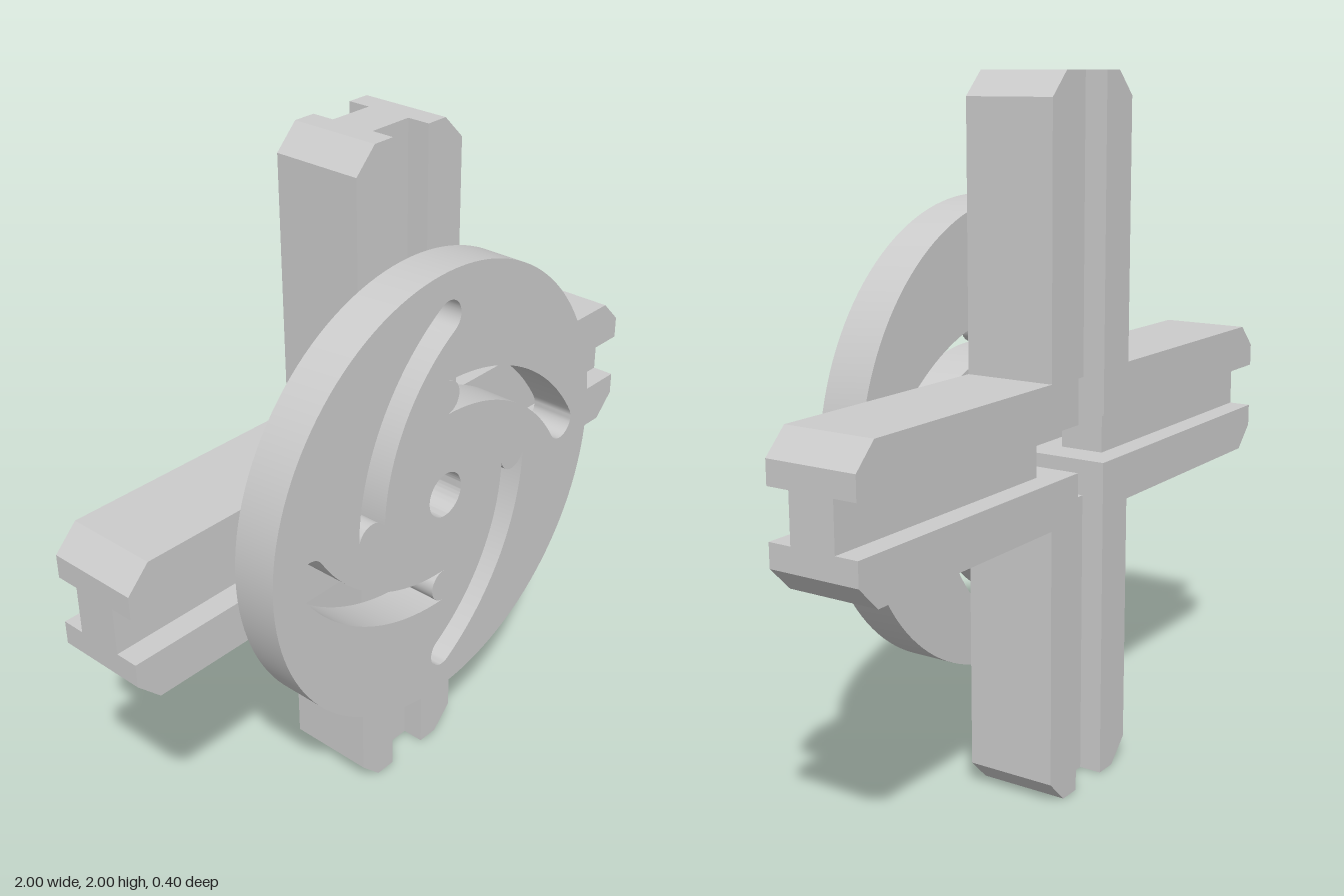
import * as THREE from 'three';
import { toCreasedNormals } from 'three/addons/utils/BufferGeometryUtils.js';

const GROOVE = 0.067;               // half width of the guide grooves
const BACK = -0.2, FACE = 0.067, FRONT = 0.2;
const PIN_R = 0.05, PIN_AT = 0.3;   // pin radius and distance from the axis

// extrude a shape between two z levels, smooth on curves and sharp on edges
function slab(shape, z0, z1) {
  const geo = new THREE.ExtrudeGeometry(shape, { depth: z1 - z0, bevelEnabled: false, curveSegments: 64 });
  geo.translate(0, 0, z0);
  return toCreasedNormals(geo, 0.6);
}

// points along an arc
function arc(cx, cy, r, a0, a1, n) {
  return Array.from({ length: n + 1 }, (_, i) => {
    const a = a0 + (a1 - a0) * i / n;
    return new THREE.Vector2(cx + r * Math.cos(a), cy + r * Math.sin(a));
  });
}

// curved slot from the pin (0, 0.3) out to (0.533, 0), turned by a given angle
function slotPath(turn) {
  const cy = -0.324, R = PIN_AT - cy, end = Math.atan2(-cy, 0.533), top = Math.PI / 2;
  const pts = [
    ...arc(0, cy, R + PIN_R, top, end, 28),
    ...arc(R * Math.cos(end), cy + R * Math.sin(end), PIN_R, end, end - Math.PI, 14).slice(1),
    ...arc(0, cy, R - PIN_R, end, top, 28).slice(1),
    ...arc(0, PIN_AT, PIN_R, -top, top, 14).slice(1, -1),
  ];
  return new THREE.Path(pts.map(p => p.rotateAround(new THREE.Vector2(), turn)));
}

export function createModel() {
  const root = new THREE.Group();
  root.name = 'scrollChuck';
  root.position.y = 1;
  const mat = new THREE.MeshStandardMaterial({ color: 0xcccccc });
  const add = (parent, name, geo) => {
    const mesh = new THREE.Mesh(geo, mat);
    mesh.name = name;
    parent.add(mesh);
    return mesh;
  };

  // L-shaped corner of the cross with chamfered arm ends
  const corner = new THREE.Shape([
    [GROOVE, GROOVE], [1, GROOVE], [1, 0.133], [0.933, 0.2],
    [0.2, 0.2], [0.2, 0.933], [0.133, 1], [GROOVE, 1],
  ].map(([x, y]) => new THREE.Vector2(x, y)));
  const cornerGeo = slab(corner, BACK, FACE);

  // web between the front and back grooves, open around the axis
  const webStart = 0.17;
  const webGeo = new THREE.BoxGeometry(1 - webStart, GROOVE * 2, 0.133);
  webGeo.translate((1 + webStart) / 2, 0, -0.0665);

  // follower pin standing on the web
  const pinGeo = new THREE.CylinderGeometry(PIN_R, PIN_R, FACE, 32);
  pinGeo.rotateX(Math.PI / 2);
  pinGeo.translate(PIN_AT, 0, FACE / 2);

  // disc with centre hole and four curved slots
  const disc = new THREE.Shape();
  disc.absarc(0, 0, 0.665, 0, Math.PI * 2, false);
  const bore = new THREE.Path();
  bore.absarc(0, 0, 0.067, 0, Math.PI * 2, true);
  disc.holes.push(bore);

  for (let i = 0; i < 4; i++) {
    const turn = i * Math.PI / 2;
    const arm = new THREE.Group();
    arm.name = 'arm' + (i + 1);
    arm.rotation.z = turn;
    add(arm, 'guideCorner', cornerGeo);
    add(arm, 'web', webGeo);
    add(arm, 'pin', pinGeo);
    root.add(arm);
    disc.holes.push(slotPath(turn));
  }
  add(root, 'slottedDisc', slab(disc, FACE, FRONT));

  const model = new THREE.Group();
  model.add(root);
  return model;
}
